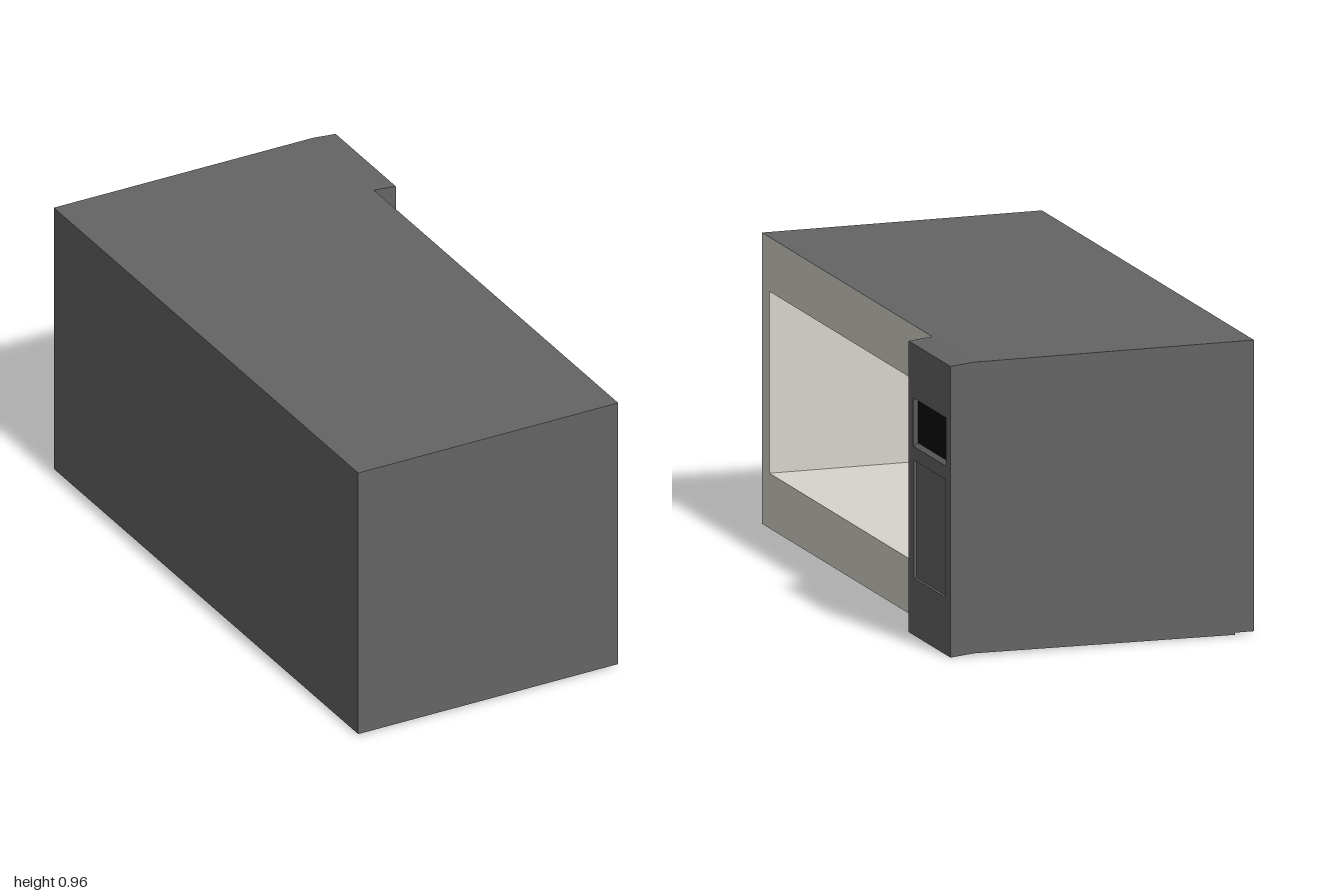
import * as THREE from 'three';

const dark = new THREE.MeshStandardMaterial({ color: 0x646464 });
const cream = new THREE.MeshStandardMaterial({ color: 0xd6d4cc });
const creamInside = new THREE.MeshStandardMaterial({ color: 0xd6d4cc, side: THREE.BackSide });
const black = new THREE.MeshStandardMaterial({ color: 0x0c0c0c });

const FRONT = 0.435, FACE = 0.515, BACK = -0.515; // depth stations along x
const LOW = 0.01, HIGH = 0.963, SPLIT = -0.605; // body bottom, top, and panel edge in z

function mesh(name, geometry, material) {
  const m = new THREE.Mesh(geometry, material);
  m.name = name;
  return m;
}

// Box given by its limits on each axis
function box(x0, x1, y0, y1, z0, z1) {
  return new THREE.BoxGeometry(x1 - x0, y1 - y0, z1 - z0)
    .translate((x0 + x1) / 2, (y0 + y1) / 2, (z0 + z1) / 2);
}

// Box without its +x side, which is the first face group
function openBox(...limits) {
  const g = box(...limits);
  g.setIndex(Array.from(g.index.array).slice(6));
  g.clearGroups();
  return g;
}

// Rectangle in the (-z, y) plane
function rect(z0, z1, y0, y1, Type = THREE.Shape) {
  return new Type([[-z1, y0], [-z0, y0], [-z0, y1], [-z1, y1]]
    .map(([u, v]) => new THREE.Vector2(u, v)));
}

// The panel's top and bottom droop slightly towards its face
function droop(g) {
  const p = g.attributes.position;
  for (let i = 0; i < p.count; i++) {
    const t = (p.getX(i) - FRONT) / (FACE - FRONT);
    p.setY(i, p.getY(i) - 0.008 * t);
  }
  g.computeVertexNormals();
  return g;
}

// Four sloping strips between two rectangles [z0, z1, y0, y1] at depths xa and xb
function bezel(a, xa, b, xb) {
  const ring = ([z0, z1, y0, y1], x) => [[x, y0, z1], [x, y0, z0], [x, y1, z0], [x, y1, z1]];
  const A = ring(a, xa), B = ring(b, xb), pos = [];
  for (let i = 0; i < 4; i++) {
    const j = (i + 1) % 4;
    pos.push(...A[i], ...A[j], ...B[j], ...A[i], ...B[j], ...B[i]);
  }
  const g = new THREE.BufferGeometry();
  g.setAttribute('position', new THREE.Float32BufferAttribute(pos, 3));
  return g;
}

export function createModel() {
  const model = new THREE.Group();
  model.name = 'microwaveOven';

  // Outer casing, open towards the front frame
  model.add(mesh('casing', openBox(BACK, FRONT, LOW, HIGH, -1, 1), dark));

  // Front frame around the cooking opening
  const frame = rect(-1, 1, LOW, HIGH);
  frame.holes.push(rect(SPLIT, 0.93, 0.19, 0.785, THREE.Path));
  model.add(mesh('frontFrame',
    new THREE.ShapeGeometry(frame).rotateY(Math.PI / 2).translate(FRONT, 0, 0), cream));

  // Cavity, whose ceiling is higher than the opening, and the lip in front of it
  model.add(mesh('cavity', openBox(-0.47, FRONT, 0.19, 0.89, SPLIT, 0.93), creamInside));
  model.add(mesh('topLip', box(0.375, FRONT - 0.001, 0.785, 0.889, SPLIT, 0.93), cream));

  // Shallow wedge under the casing behind the controls
  const wedge = new THREE.Shape([[-0.45, LOW], [-0.45, 0.003], [FRONT, LOW]]
    .map(([x, y]) => new THREE.Vector2(x, y)));
  model.add(mesh('bottomWedge',
    new THREE.ExtrudeGeometry(wedge, { depth: 0.395, bevelEnabled: false }).translate(0, 0, -1), dark));

  // Control panel: solid core, pierced face plate, display and door button
  const panel = new THREE.Group();
  panel.name = 'controlPanel';
  const plateX = 0.5;
  panel.add(mesh('panelCore', droop(box(FRONT, plateX, LOW, HIGH, -1, SPLIT)), dark));

  const displayHole = [-0.956, -0.648, 0.627, 0.786];
  const buttonHole = [-0.947, -0.655, 0.197, 0.583];
  const plate = rect(-1, SPLIT, LOW, HIGH);
  plate.holes.push(rect(...displayHole, THREE.Path), rect(...buttonHole, THREE.Path));
  const plateGeometry = new THREE.ExtrudeGeometry(plate, { depth: FACE - plateX, bevelEnabled: false })
    .rotateY(Math.PI / 2).translate(plateX, 0, 0);
  panel.add(mesh('facePlate', droop(plateGeometry), dark));

  const screen = [-0.946, -0.657, 0.638, 0.776];
  panel.add(mesh('displayBezel', droop(bezel(displayHole, FACE - 0.001, screen, plateX + 0.002)), dark));
  const [z0, z1, y0, y1] = screen;
  panel.add(mesh('displayScreen', droop(box(plateX - 0.002, plateX + 0.002, y0, y1, z0, z1)), black));

  const [bz0, bz1, by0, by1] = buttonHole;
  panel.add(mesh('doorButton', droop(box(plateX, FACE - 0.008, by0, by1, bz0, bz1)), dark));
  model.add(panel);

  return model;
}
